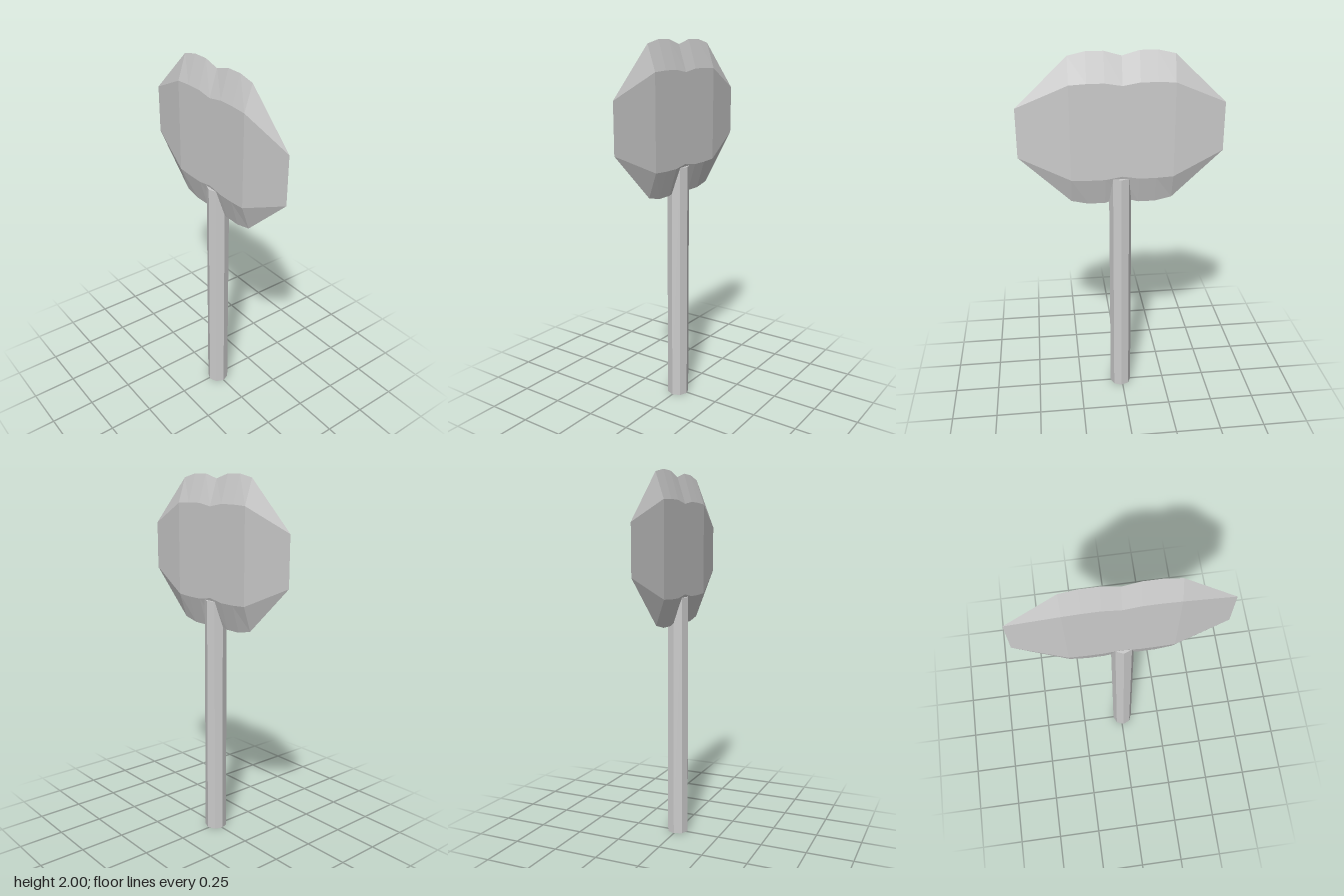
import * as THREE from 'three';

const MID = 1.595; // height of the head's horizontal symmetry line
const material = new THREE.MeshStandardMaterial({ color: 0xcccccc, flatShading: true });

// Double head: six-point cross-sections lofted along z, mirrored about z = 0
function headGeometry() {
  // [z, half thickness, half height of flat cheek, half height of sharp rim]
  const half = [
    [0, 0.045, 0.24, 0.38],
    [0.09, 0.045, 0.255, 0.405],
    [0.18, 0.045, 0.255, 0.405],
    [0.27, 0.045, 0.25, 0.385],
    [0.54, 0, 0.13, 0.13],
  ];
  const sections = [
    ...half.slice(1).reverse().map(([z, ...rest]) => [-z, ...rest]),
    ...half,
  ];
  const positions = [];
  const index = [];
  for (const [z, t, flat, rim] of sections) {
    const ring = [[0, rim], [t, flat], [t, -flat], [0, -rim], [-t, -flat], [-t, flat]];
    for (const [x, y] of ring) positions.push(x, MID + y, z);
  }
  for (let s = 0; s < sections.length - 1; s++) {
    for (let k = 0; k < 6; k++) {
      const a = s * 6 + k;
      const b = s * 6 + ((k + 1) % 6);
      index.push(a, a + 6, b, b, a + 6, b + 6);
    }
  }
  const geometry = new THREE.BufferGeometry();
  geometry.setAttribute('position', new THREE.Float32BufferAttribute(positions, 3));
  geometry.setIndex(index);
  geometry.computeVertexNormals();
  return geometry;
}

export function createModel() {
  const model = new THREE.Group();
  model.name = 'doubleAxe';

  // Octagonal shaft, slightly wider than the head is thick
  const handle = new THREE.Mesh(new THREE.CylinderGeometry(0.06, 0.06, 1.34, 8), material);
  handle.name = 'handle';
  handle.position.set(0, 0.67, 0.008);
  model.add(handle);

  const head = new THREE.Mesh(headGeometry(), material);
  head.name = 'axeHead';
  model.add(head);

  return model;
}
